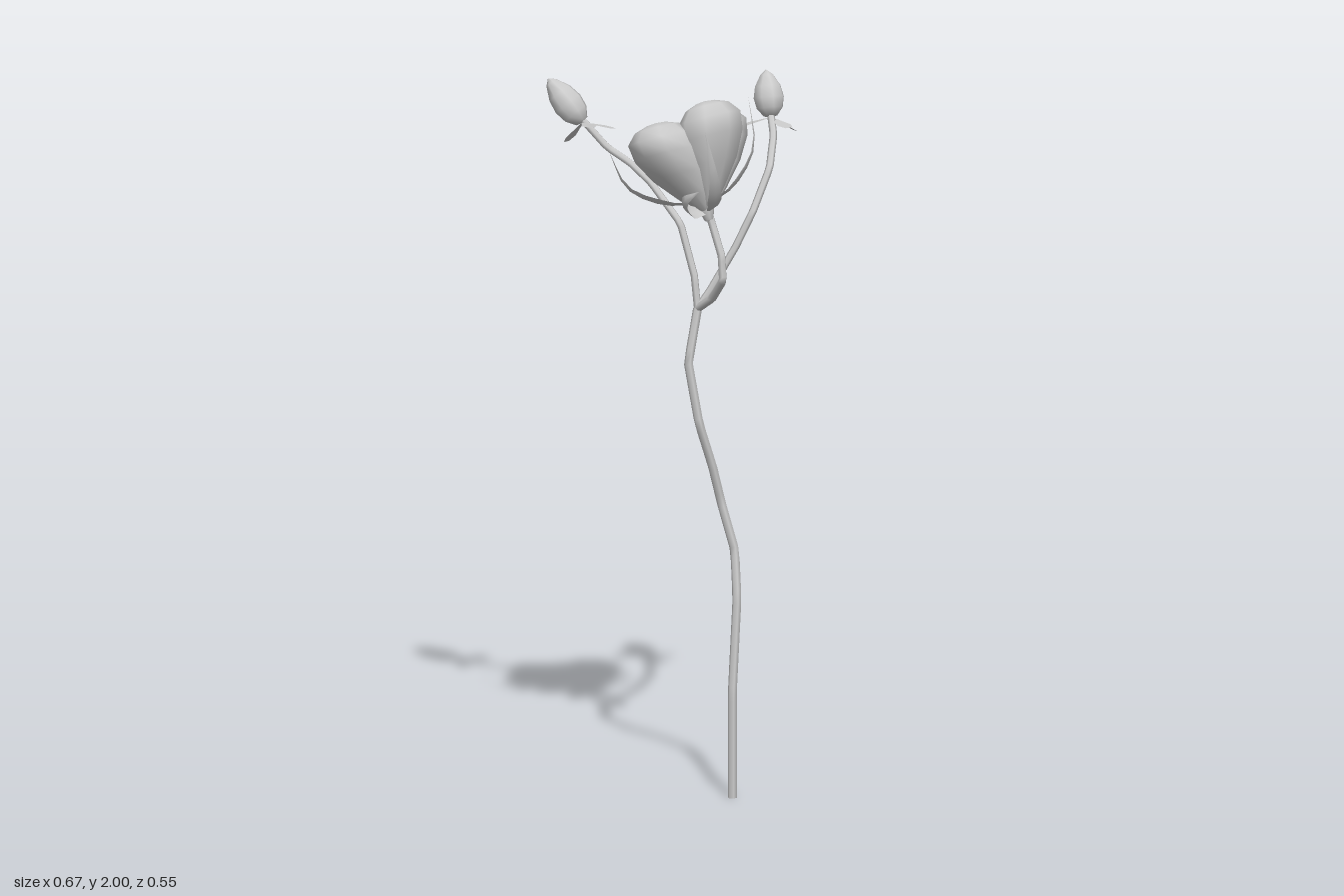
import * as THREE from 'three';
import { mergeVertices } from 'three/addons/utils/BufferGeometryUtils.js';

const V = (p) => new THREE.Vector3(...p);
const up = new THREE.Vector3(0, 1, 0);
const spline = (pts) => new THREE.CatmullRomCurve3(pts.map(V));
const grey = new THREE.MeshStandardMaterial({ color: 0xcccccc });
const thin = new THREE.MeshStandardMaterial({ color: 0xcccccc, side: THREE.DoubleSide });

function add(parent, name, geometry, material = grey) {
  const mesh = new THREE.Mesh(geometry, material);
  mesh.name = name;
  parent.add(mesh);
  return mesh;
}

// Angular six-sided stalk: zero tension keeps the runs between points straight
function stalk(parent, name, pts, radius) {
  const path = new THREE.CatmullRomCurve3(pts.map(V), false, 'catmullrom', 0);
  add(parent, name, new THREE.TubeGeometry(path, pts.length * 4, radius, 6));
}

// Surface spanned by a rule over u (-1..1, across) and v (0..1, along)
function sheet(nu, nv, rule) {
  const g = new THREE.PlaneGeometry(2, 1, nu, nv);
  const pos = g.attributes.position;
  for (let i = 0; i < pos.count; i++) {
    const p = rule(pos.getX(i), pos.getY(i) + 0.5);
    pos.setXYZ(i, p.x, p.y, p.z);
  }
  g.computeVertexNormals();
  return g;
}

// Narrow leaf along a path, slightly folded, its back turned to the centre
function sepal(parent, pts, halfWidth, centre) {
  const path = spline(pts);
  const widest = 0.4;
  add(parent, 'sepal', sheet(2, 8, (u, v) => {
    const p = path.getPoint(v);
    const out = p.clone().sub(V(centre)).normalize();
    const side = new THREE.Vector3().crossVectors(path.getTangent(v), out).normalize();
    const w = halfWidth * (v < widest ? 0.25 + 0.75 * v / widest : (1 - v) / (1 - widest));
    return p.addScaledVector(side, u * w).addScaledVector(out, -Math.abs(u) * w * 0.4);
  }), thin);
}

// Closed bud with kite-shaped leaflets at its foot
function bud(parent, name, foot, tip, leafTips) {
  const group = new THREE.Group();
  group.name = name;
  parent.add(group);
  const a = V(foot), axis = V(tip).sub(a), len = axis.length();
  const profile = [[0, 0], [0.02, 0.03], [0.038, 0.2], [0.044, 0.42], [0.037, 0.66], [0.018, 0.9], [0, 1]]
    .map(([r, h]) => new THREE.Vector2(r, h * len));
  const body = add(group, 'budBody', new THREE.LatheGeometry(profile, 8));
  body.position.copy(a);
  body.quaternion.setFromUnitVectors(up, axis.normalize());
  for (const t of leafTips) {
    const dir = V(t).sub(a);
    const side = new THREE.Vector3().crossVectors(dir, up).normalize();
    add(group, 'budLeaflet', sheet(2, 4, (u, v) => {
      const w = v < 0.75 ? 0.004 + 0.017 * v / 0.75 : 0.021 - 0.04 * (v - 0.75);
      return a.clone().addScaledVector(dir, v).addScaledVector(side, u * w);
    }), thin);
  }
}

// Plump eight-sided petal leaning along +x; rings of height, lean, half depth, half width
function petalGeometry() {
  const rings = [
    [0, 0.008, 0, 0], [0.01, 0.01, 0.014, 0.016], [0.06, 0.038, 0.034, 0.046],
    [0.13, 0.07, 0.062, 0.08], [0.2, 0.096, 0.082, 0.095], [0.25, 0.106, 0.084, 0.092],
    [0.282, 0.108, 0.058, 0.064], [0.295, 0.106, 0.025, 0.028], [0.298, 0.105, 0, 0],
  ];
  const g = new THREE.LatheGeometry(rings.map((_, i) => new THREE.Vector2(1, i)), 8);
  const pos = g.attributes.position;
  for (let i = 0; i < pos.count; i++) {
    const [h, lean, depth, width] = rings[Math.round(pos.getY(i))];
    pos.setXYZ(i, lean + depth * pos.getX(i), h, width * pos.getZ(i));
  }
  g.deleteAttribute('normal');
  g.deleteAttribute('uv');
  const merged = mergeVertices(g, 1e-5);
  merged.computeVertexNormals();
  return merged;
}

export function createModel() {
  const plant = new THREE.Group();
  plant.name = 'flower';

  // Main stem and its three branches
  const fork = [-0.005, 1.38, 0.063];
  stalk(plant, 'mainStem', [
    [0.075, 0, 0.127], [0.075, 0.3, 0.127], [0.095, 0.56, 0.108], [0.098, 0.69, 0.08],
    [0.065, 0.82, 0.064], [0.035, 0.93, 0.075], [-0.01, 1.06, 0.09], [-0.037, 1.23, 0.078], fork,
  ], 0.0125);
  stalk(plant, 'leftBranch', [
    fork, [0.03, 1.43, 0.068], [0.1, 1.55, 0.08], [0.15, 1.65, 0.085], [0.21, 1.76, 0.05],
    [0.245, 1.835, -0.02], [0.257, 1.885, -0.08],
  ], 0.0105);
  stalk(plant, 'rightBranch', [
    fork, [-0.01, 1.47, 0.05], [-0.035, 1.61, 0.005], [-0.09, 1.71, -0.085],
    [-0.135, 1.76, -0.135], [-0.19, 1.8, -0.17], [-0.25, 1.875, -0.205],
  ], 0.0105);
  stalk(plant, 'middleBranch', [
    fork, [0.02, 1.42, 0.12], [0.03, 1.48, 0.178], [0.028, 1.55, 0.172],
    [0.012, 1.63, 0.143], [0, 1.68, 0.13],
  ], 0.0115);

  // Buds
  bud(plant, 'leftBud', [0.257, 1.872, -0.08], [0.256, 2, -0.117],
    [[0.175, 1.845, -0.115], [0.335, 1.825, -0.095], [0.28, 1.86, 0.01]]);
  bud(plant, 'rightBud', [-0.25, 1.868, -0.203], [-0.33, 1.985, -0.268],
    [[-0.157, 1.845, -0.205], [-0.256, 1.875, -0.11], [-0.28, 1.805, -0.255]]);

  // Open bloom, tipped backwards
  const bloom = new THREE.Group();
  bloom.name = 'bloom';
  bloom.position.set(0, 1.665, 0.133);
  bloom.quaternion.setFromUnitVectors(up, V([-0.15, 1, -0.36]).normalize());
  plant.add(bloom);

  // Petals by angle, outward spread and height
  const petal = petalGeometry();
  for (const [angle, spread, height] of [[-23, 1, 0.94], [67, 1, 1], [150, 1.08, 0.91], [241, 1.02, 0.92]]) {
    const mesh = add(bloom, 'petal', petal);
    mesh.rotation.y = -angle * Math.PI / 180;
    mesh.scale.set(spread, height, 1);
  }

  // Swollen base and heart between the petals
  add(bloom, 'calyx', new THREE.LatheGeometry(
    [[0, -0.025], [0.013, -0.02], [0.024, 0.015], [0.036, 0.05], [0.045, 0.15], [0.035, 0.2], [0, 0.215]]
      .map(([r, h]) => new THREE.Vector2(r, h)), 8));

  // Long curling sepals: path, half width, point their backs face
  const heart = [-0.03, 1.85, 0.06];
  const sepals = [
    [[[-0.01, 1.69, 0.125], [-0.13, 1.695, 0.12], [-0.22, 1.74, 0.085], [-0.255, 1.84, 0.035]], 0.022, heart],
    [[[0.01, 1.69, 0.13], [0.08, 1.74, 0.14], [0.14, 1.84, 0.125], [0.13, 1.98, 0.1]], 0.022, heart],
    [[[0, 1.67, 0.14], [0, 1.7, 0.2], [-0.02, 1.79, 0.255], [-0.055, 1.93, 0.275]], 0.022, heart],
    [[[-0.01, 1.67, 0.14], [-0.07, 1.68, 0.17], [-0.1, 1.72, 0.215], [-0.07, 1.76, 0.27]], 0.03, [0.4, 1.75, 0.1]],
    [[[0.005, 1.69, 0.11], [0.03, 1.73, 0.01], [0.03, 1.81, -0.06], [0, 1.88, -0.085]], 0.02, heart],
  ];
  for (const [pts, halfWidth, centre] of sepals) sepal(plant, pts, halfWidth, centre);

  return plant;
}
